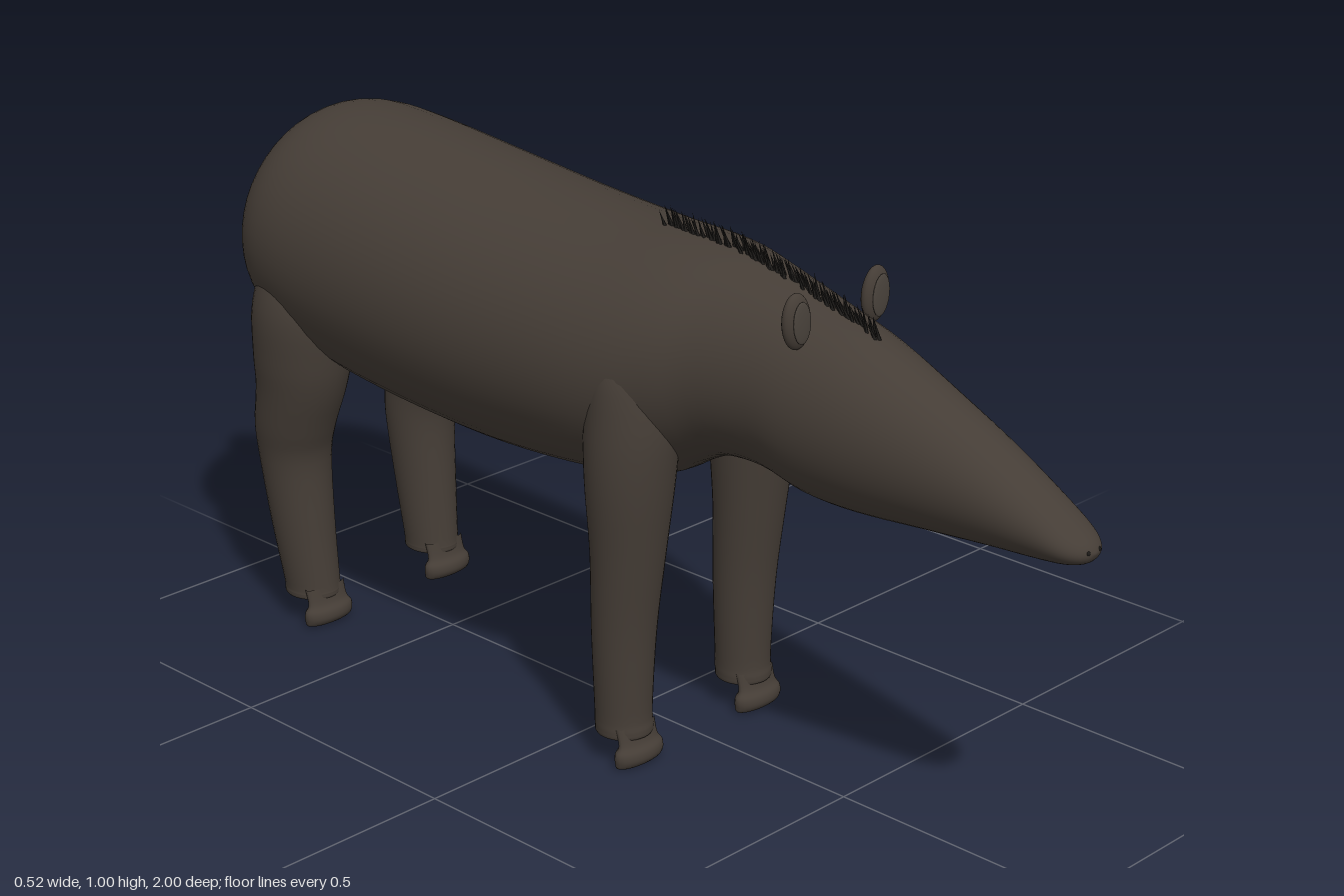
import * as THREE from 'three';
import { mergeGeometries, mergeVertices } from 'three/addons/utils/BufferGeometryUtils.js';

const mat = (name, color, side = THREE.FrontSide) => {
  const m = new THREE.MeshStandardMaterial({ color, side });
  m.name = name;
  return m;
};

// Catmull-Rom blend of whole section rows
function refine(rows, steps) {
  const out = [];
  const n = rows.length;
  for (let i = 0; i < n - 1; i++) {
    const p = [rows[Math.max(i - 1, 0)], rows[i], rows[i + 1], rows[Math.min(i + 2, n - 1)]];
    for (let s = 0; s < steps; s++) {
      const t = s / steps;
      out.push(rows[i].map((_, k) => {
        const [a, b, c, d] = p.map((r) => r[k]);
        return b + 0.5 * t * (c - a + t * (2 * a - 5 * b + 4 * c - d + t * (3 * (b - c) + d - a)));
      }));
    }
  }
  out.push(rows[n - 1]);
  return out;
}

// Skin a list of sections; place(row, cos, sin) gives one point
function loft(rows, place, sides = 32, steps = 4) {
  const sections = refine(rows, steps);
  const pos = [], index = [];
  sections.forEach((r, i) => {
    for (let j = 0; j < sides; j++) {
      const a = (j / sides) * Math.PI * 2;
      pos.push(...place(r, Math.cos(a), Math.sin(a)));
      if (i < sections.length - 1) {
        const k = i * sides + j, l = i * sides + (j + 1) % sides;
        index.push(k, l, k + sides, l, l + sides, k + sides);
      }
    }
  });
  let g = new THREE.BufferGeometry();
  g.setAttribute('position', new THREE.Float32BufferAttribute(pos, 3));
  g.setIndex(index);
  g = mergeVertices(g, 1e-5);
  g.computeVertexNormals();
  return g;
}

// Trunk and head: z, top y, bottom y, half width
const bodyRows = [
  [-0.9, 0.74, 0.74, 0], [-0.895, 0.82, 0.66, 0.09], [-0.875, 0.885, 0.605, 0.15],
  [-0.84, 0.945, 0.565, 0.2], [-0.79, 0.985, 0.535, 0.235], [-0.72, 1.0, 0.515, 0.253],
  [-0.6, 0.995, 0.49, 0.26], [-0.4, 0.975, 0.472, 0.262], [-0.2, 0.955, 0.468, 0.26],
  [0, 0.942, 0.482, 0.25], [0.12, 0.941, 0.505, 0.23], [0.2, 0.938, 0.55, 0.2],
  [0.27, 0.93, 0.578, 0.165], [0.36, 0.91, 0.578, 0.142], [0.45, 0.885, 0.556, 0.134],
  [0.55, 0.855, 0.553, 0.122], [0.68, 0.8, 0.563, 0.1], [0.8, 0.745, 0.573, 0.08],
  [0.9, 0.69, 0.58, 0.063], [0.96, 0.652, 0.587, 0.05], [0.99, 0.63, 0.597, 0.028],
  [1.0, 0.614, 0.614, 0],
];
const placeBody = ([z, top, low, w], c, s) => [w * c, (top + low) / 2 + ((top - low) / 2) * s, z];

// Legs and hooves, top to bottom: y, centre x, centre z, half width, half depth
const placeLeg = ([y, x, z, rx, rz], c, s) => [x + rx * c, y, z + rz * s];
const frontLegRows = [
  [0.8, 0.14, 0.13, 0, 0], [0.76, 0.145, 0.13, 0.07, 0.06], [0.65, 0.15, 0.135, 0.085, 0.08],
  [0.54, 0.155, 0.135, 0.083, 0.076], [0.4, 0.155, 0.13, 0.07, 0.064],
  [0.25, 0.155, 0.12, 0.06, 0.056], [0.1, 0.155, 0.118, 0.052, 0.051],
  [0.066, 0.155, 0.12, 0.052, 0.052], [0.052, 0.155, 0.12, 0.046, 0.046], [0.052, 0.155, 0.12, 0, 0],
];
const hindLegRows = [
  [0.78, 0.15, -0.72, 0, 0], [0.74, 0.155, -0.72, 0.06, 0.07], [0.65, 0.165, -0.715, 0.088, 0.1],
  [0.55, 0.165, -0.72, 0.088, 0.1], [0.48, 0.165, -0.728, 0.081, 0.092],
  [0.4, 0.165, -0.75, 0.074, 0.082], [0.33, 0.16, -0.76, 0.068, 0.071],
  [0.2, 0.158, -0.748, 0.06, 0.063], [0.08, 0.155, -0.732, 0.052, 0.056],
  [0.062, 0.155, -0.73, 0.052, 0.056], [0.052, 0.155, -0.73, 0.046, 0.05], [0.052, 0.155, -0.73, 0, 0],
];
const hoofRows = (z) => [
  [0.075, 0.155, z - 0.01, 0.046, 0.016], [0.045, 0.155, z - 0.002, 0.046, 0.015],
  [0.03, 0.155, z, 0.055, 0.024], [0.014, 0.155, z, 0.055, 0.025],
  [0.002, 0.155, z - 0.002, 0.047, 0.016], [0, 0.155, z - 0.002, 0, 0],
];

// Tail, root to tip: y, z, half width, half thickness, bend angle
const tailRows = [
  [0.8, -0.86, 0.04, 0.035, 0.5], [0.825, -0.905, 0.036, 0.034, 0.1],
  [0.815, -0.94, 0.03, 0.028, -0.6], [0.78, -0.967, 0.024, 0.022, -0.9],
  [0.75, -0.983, 0.019, 0.017, -0.9], [0.738, -0.989, 0.011, 0.01, -0.9], [0.735, -0.991, 0, 0, -0.9],
];
const placeTail = ([y, z, rx, ry, a], c, s) =>
  [-rx * c, y + ry * s * Math.cos(a), z + ry * s * Math.sin(a)];

// Row of short bristles along the neck, leaning back
function maneGeometry() {
  let seed = 7;
  const rnd = () => (seed = (seed * 16807) % 2147483647) / 2147483647;
  const ridge = new THREE.CatmullRomCurve3([[0.07, 0.94], [0.2, 0.937], [0.28, 0.927], [0.36, 0.909], [0.45, 0.884], [0.55, 0.854]]
    .map(([z, y]) => new THREE.Vector3(0, y, z)));
  const hairs = [];
  for (let i = 0; i < 110; i++) {
    const p = ridge.getPoint(i / 109);
    const h = 0.038 + rnd() * 0.012;
    const g = new THREE.ConeGeometry(0.0045, h, 5);
    g.translate(0, h / 2 - 0.01, 0);
    g.rotateX(-0.3 - rnd() * 0.3);
    g.rotateZ((rnd() - 0.5) * 0.25);
    g.translate((rnd() - 0.5) * 0.014, p.y, p.z);
    hairs.push(g);
  }
  return mergeGeometries(hairs);
}

export function createModel() {
  const model = new THREE.Group();
  const hide = mat('hide brown', 0x453d36);
  const earSkin = mat('inner ear', 0x4a433c);
  const bristle = mat('bristle black', 0x1c1a18);
  const add = (name, geometry, material, parent = model) => {
    const m = new THREE.Mesh(geometry, material);
    m.name = name;
    parent.add(m);
    return m;
  };

  add('body', loft(bodyRows, placeBody, 48), hide);
  add('tail', loft(tailRows, placeTail, 20), hide);
  add('mane', maneGeometry(), bristle);

  for (const side of [1, -1]) {
    const word = side > 0 ? 'left' : 'right';
    // Mirroring the angle as well as x keeps the faces outward
    const mirrored = (r, c, s) => placeLeg([r[0], side * r[1], ...r.slice(2)], c, s);
    add(word + 'FrontLeg', loft(frontLegRows, mirrored), hide);
    add(word + 'HindLeg', loft(hindLegRows, mirrored), hide);
    add(word + 'FrontHoof', loft(hoofRows(0.156), mirrored, 24), hide);
    add(word + 'HindHoof', loft(hoofRows(-0.686), mirrored, 24), hide);

    // Upright oval ear with a thin inner plate
    const ear = new THREE.Group();
    ear.name = word + 'Ear';
    ear.position.set(side * 0.098, 0.886, 0.455);
    ear.rotation.z = side * -0.08;
    model.add(ear);
    add('earShell', new THREE.SphereGeometry(1, 24, 16), hide, ear).scale.set(0.031, 0.049, 0.016);
    const inner = add('earInside', new THREE.SphereGeometry(1, 20, 12), earSkin, ear);
    inner.scale.set(0.021, 0.037, 0.004);
    inner.position.z = 0.0135;

    // Nostril
    const nostril = add(word + 'Nostril', new THREE.SphereGeometry(0.004, 10, 8), bristle);
    nostril.position.set(side * 0.014, 0.617, 0.994);
  }
  return model;
}
